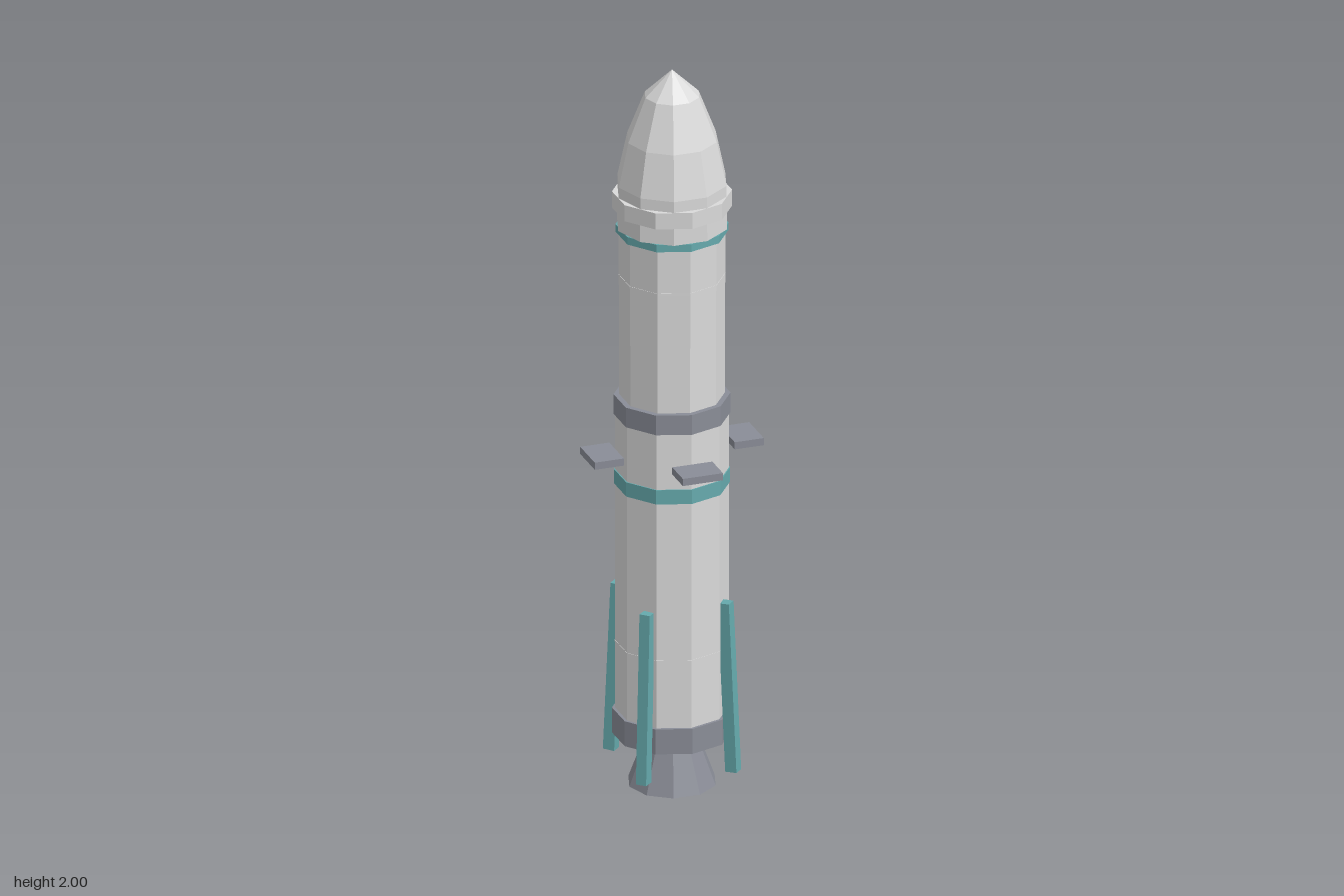
import * as THREE from 'three';

const SIDES = 10;
const TURN = Math.PI / SIDES; // half a facet, puts corners on the x axis

export function createModel() {
  const model = new THREE.Group();
  model.name = 'rocket';

  const makeMaterial = (name, color) => {
    const m = new THREE.MeshStandardMaterial({ color, flatShading: true });
    m.name = name;
    return m;
  };
  const white = makeMaterial('hull white', 0xdadada);
  const grey = makeMaterial('metal grey', 0x8a8d97);
  const teal = makeMaterial('teal trim', 0x66aaad);
  const dark = makeMaterial('nozzle dark', 0x55565c);

  const add = (name, geometry, material, parent = model) => {
    const mesh = new THREE.Mesh(geometry, material);
    mesh.name = name;
    parent.add(mesh);
    return mesh;
  };
  // Faceted drum between two heights
  const drum = (name, y0, y1, r0, r1, material, turn = 0) => {
    const g = new THREE.CylinderGeometry(r1, r0, y1 - y0, SIDES);
    g.rotateY(turn);
    g.translate(0, (y0 + y1) / 2, 0);
    return add(name, g, material);
  };

  // Engine
  drum('engineNozzle', 0.002, 0.15, 0.117, 0.062, grey, TURN);
  drum('nozzleMouth', 0, 0.003, 0.108, 0.108, dark, TURN);
  drum('engineRing', 0.14, 0.21, 0.155, 0.155, grey);

  // Lower stage
  drum('lowerStage', 0.2, 1.04, 0.147, 0.147, white);
  drum('lowerSeam', 0.395, 0.4, 0.148, 0.148, white);
  drum('lowerBand', 0.84, 0.88, 0.15, 0.15, teal);
  drum('stageRing', 1.035, 1.09, 0.151, 0.151, grey);

  // Upper stage
  drum('upperStage', 1.08, 1.56, 0.136, 0.138, white);
  drum('upperSeam', 1.422, 1.427, 0.1385, 0.1385, white);
  drum('upperBand', 1.547, 1.568, 0.146, 0.146, teal);

  // Fairing: a turned drum crossed by a collar, then the pointed nose
  drum('fairingBase', 1.568, 1.69, 0.1475, 0.146, white, TURN);
  drum('fairingCollar', 1.615, 1.66, 0.155, 0.155, white);
  const profile = [[0.146, 1.69], [0.12, 1.81], [0.073, 1.93], [0, 2]]
    .map(([r, y]) => new THREE.Vector2(r, y));
  const nose = new THREE.LatheGeometry(profile, SIDES);
  nose.rotateY(TURN);
  add('noseCone', nose, white);

  // Four steering fins on the axes and four splayed legs between them
  for (let i = 0; i < 4; i++) {
    const fin = add('steeringFin', new THREE.BoxGeometry(0.11, 0.02, 0.08), grey);
    const a = i * Math.PI / 2;
    fin.position.set(Math.sin(a) * 0.192, 0.942, Math.cos(a) * 0.192);
    fin.rotation.y = a;

    const mount = new THREE.Group();
    mount.name = 'legMount';
    mount.rotation.y = a + Math.PI / 4;
    model.add(mount);
    const leg = add('landingLeg', new THREE.BoxGeometry(0.029, 0.47, 0.032), teal, mount);
    leg.position.set(0, 0.297, 0.163);
    leg.rotation.x = -0.046;
  }

  return model;
}
